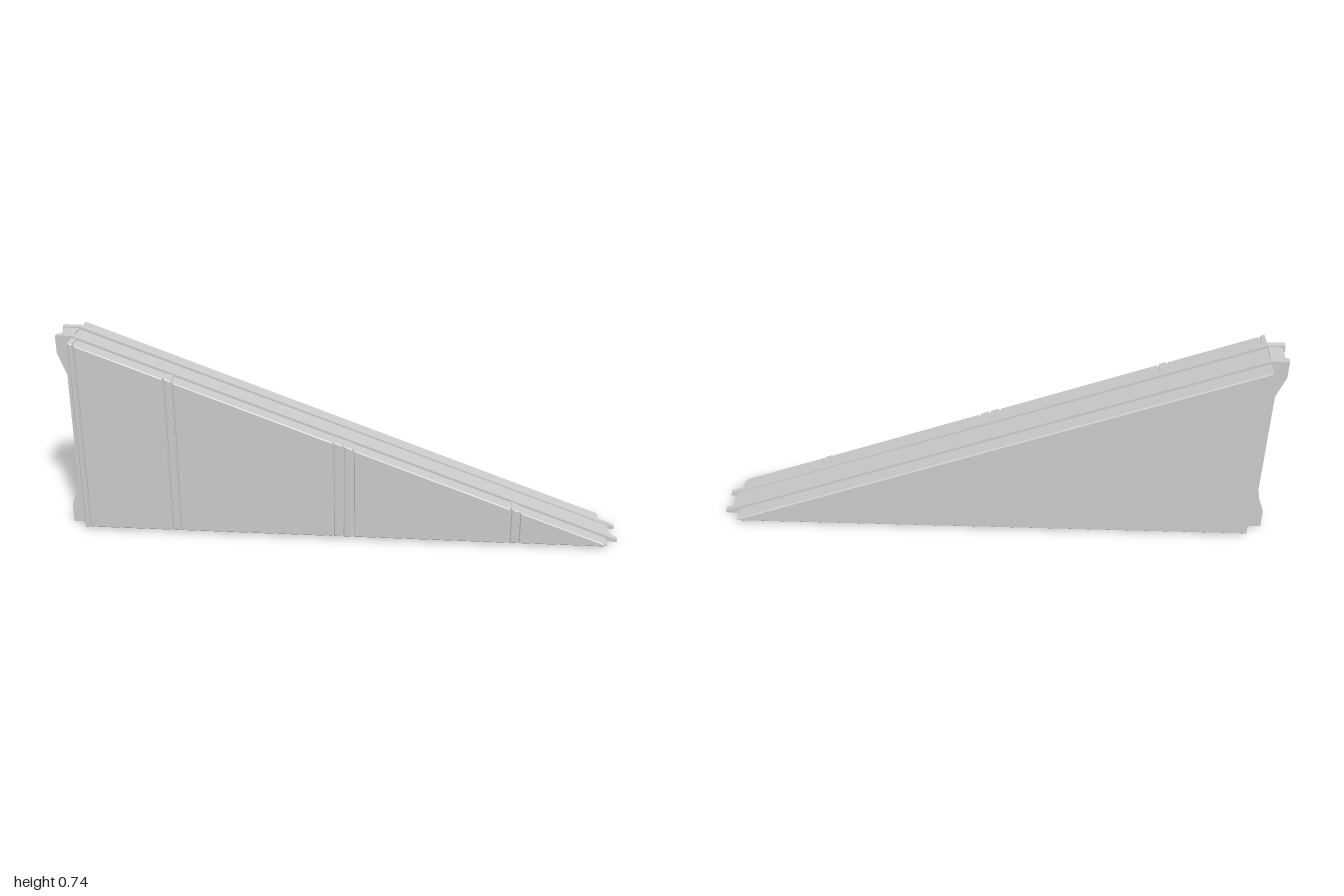
import * as THREE from 'three';

const material = new THREE.MeshStandardMaterial({ color: 0xcccccc, flatShading: true });

// Height of the sloping top edge; it levels off over the tall end.
const slope = (x) => 0.008 + 0.3747 * (1 - Math.max(x, -0.94));

// Extrude an x/y outline between two depths, with an optional bevel kept inside the outline.
function slab(name, points, z0, z1, bevel = 0) {
  const shape = new THREE.Shape(points.map(([x, y]) => new THREE.Vector2(x, y)));
  const geometry = new THREE.ExtrudeGeometry(shape, {
    depth: z1 - z0 - 2 * bevel,
    bevelEnabled: bevel > 0,
    bevelThickness: bevel,
    bevelSize: bevel,
    bevelOffset: -bevel,
    bevelSegments: 1,
  });
  geometry.translate(0, 0, z0 + bevel);
  const mesh = new THREE.Mesh(geometry, material);
  mesh.name = name;
  return mesh;
}

// Four-sided slice of the wedge between two x positions.
const slice = (x0, x1, bottom, drop) => [
  [x0, bottom], [x1, bottom], [x1, slope(x1) - drop], [x0, slope(x0) - drop],
];

export function createModel() {
  const model = new THREE.Group();
  model.name = 'wedgePanel';

  // Inner core and the thick rear skin
  model.add(slab('core', slice(-0.955, 0.975, 0.006, 0.004), -0.042, 0.04));
  model.add(slab('backPanel', slice(-0.94, 0.945, 0.012, 0.008), -0.12, -0.058, 0.004));

  // Two rails proud of the edges, flaring into flanges at the tall end
  const railOutline = [
    [-1, 0], [1, 0], [1, 0.008], [-0.94, 0.735], [-1, 0.735],
    [-1, 0.67], [-0.97, 0.59], [-0.97, 0.15], [-1, 0.07],
  ];
  model.add(slab('frontRail', railOutline, 0.036, 0.058));
  model.add(slab('backRail', railOutline, -0.06, -0.038));

  // Blocks closing the channel between the flanges
  model.add(slab('topEndBlock',
    [[-0.99, 0.73], [-0.99, 0.675], [-0.95, 0.62], [-0.94, 0.62], [-0.94, 0.73]], -0.04, 0.038));
  model.add(slab('bottomEndBlock',
    [[-0.99, 0.005], [-0.94, 0.005], [-0.94, 0.12], [-0.95, 0.12], [-0.99, 0.065]], -0.04, 0.038));
  model.add(slab('endPad',
    [[-0.962, 0.22], [-0.95, 0.2], [-0.95, 0.54], [-0.962, 0.52]], -0.022, 0.02));

  // Front skin: backing sheet, then panels and battens separated by fine grooves
  model.add(slab('frontBacking', slice(-0.938, 0.958, 0.012, 0.009), 0.056, 0.109));
  const seams = [-0.943, -0.922, -0.615, -0.585, -0.025, 0.01, 0.047, 0.608, 0.64, 0.95];
  const battens = new Set([0, 2, 4, 5, 7]);
  for (let i = 0; i < seams.length - 1; i++) {
    const isBatten = battens.has(i);
    const outline = slice(seams[i] + 0.003, seams[i + 1] - 0.003, 0.011, isBatten ? 0.005 : 0.008);
    model.add(slab(isBatten ? 'frontBatten' : 'frontPanel', outline, 0.058, 0.117, 0.003));
  }

  return model;
}
